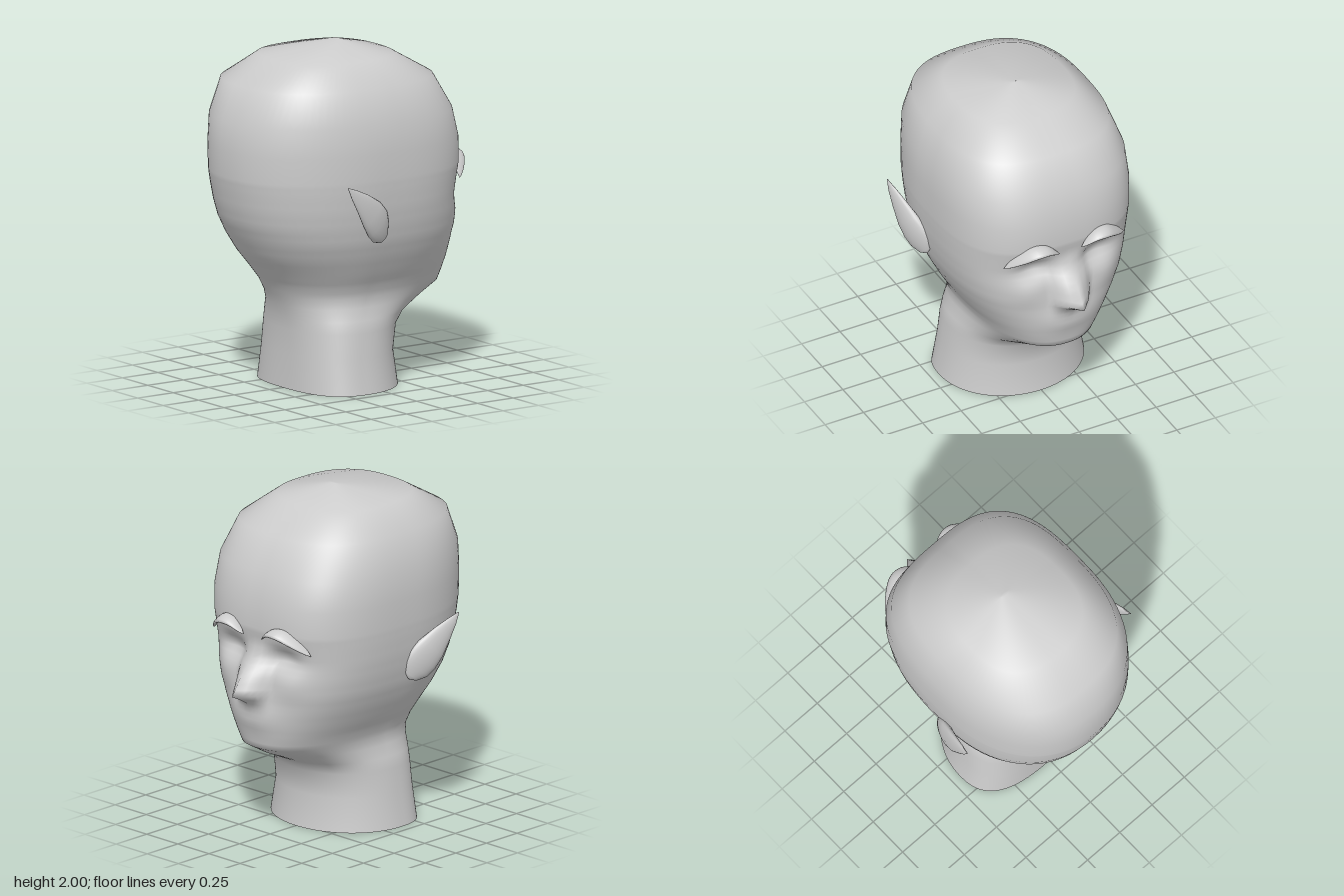
import * as THREE from 'three';

// Skin a stack of closed rings (arrays of [x, y, z]) into one smooth surface.
function loft(rings) {
  const n = rings[0].length, index = [];
  for (let r = 0; r < rings.length - 1; r++) {
    for (let i = 0; i < n; i++) {
      const a = r * n + i, b = r * n + (i + 1) % n;
      index.push(a, a + n, b, b, a + n, b + n);
    }
  }
  const g = new THREE.BufferGeometry();
  g.setAttribute('position', new THREE.Float32BufferAttribute(rings.flat(2), 3));
  g.setIndex(index);
  g.computeVertexNormals();
  return g;
}

// Linear lookup in a table of [key, v1, v2, ...].
function lookup(table, k) {
  if (k <= table[0][0]) return table[0].slice(1);
  for (let i = 0; i < table.length - 1; i++) {
    const p = table[i], q = table[i + 1];
    if (k <= q[0]) {
      const t = (k - p[0]) / (q[0] - p[0]);
      return p.slice(1).map((v, j) => v + (q[j + 1] - v) * t);
    }
  }
  return table[table.length - 1].slice(1);
}

// Height, half width, back z, front z, z of widest point, front and back squareness
const SECTIONS = [
  [0, 0.445, 0.405, -0.29, 0.12, 2.05, 2.7], [0.2, 0.41, 0.40, -0.262, 0.12, 2.1, 2.6],
  [0.35, 0.40, 0.405, -0.29, 0.11, 2.1, 2.4], [0.42, 0.385, 0.415, -0.36, 0.10, 2.1, 2.3],
  [0.49, 0.36, 0.43, -0.51, 0.09, 2.15, 2.2], [0.55, 0.36, 0.455, -0.615, 0.08, 2.3, 2.1],
  [0.62, 0.385, 0.49, -0.625, 0.08, 2.5, 2.1], [0.7, 0.43, 0.55, -0.63, 0.08, 2.6, 2.1],
  [0.8, 0.48, 0.63, -0.635, 0.08, 2.7, 2.15], [0.9, 0.52, 0.69, -0.635, 0.08, 2.8, 2.2],
  [1.0, 0.545, 0.74, -0.625, 0.08, 2.9, 2.2], [1.1, 0.562, 0.77, -0.61, 0.08, 3, 2.2],
  [1.2, 0.572, 0.79, -0.622, 0.08, 3, 2.2], [1.28, 0.577, 0.803, -0.636, 0.08, 3, 2.2],
  [1.43, 0.578, 0.808, -0.632, 0.08, 3, 2.2], [1.6, 0.565, 0.79, -0.59, 0.08, 3, 2.3],
  [1.8, 0.50, 0.70, -0.48, 0.09, 2.9, 2.6], [1.93, 0.35, 0.48, -0.265, 0.1, 2.6, 2.6],
  [2, 0.03, 0.03, 0.01, 0.02, 2, 2], [2, 0.001, 0.021, 0.019, 0.02, 2, 2],
];

// Height against how far the nose stands out, and its fall-off sideways
const NOSE = [[0.78, 0], [0.83, 0.04], [0.86, 0.09], [0.9, 0.175], [1.0, 0.12], [1.1, 0.045], [1.18, 0]];
const NOSE_WIDTH = [[0, 1], [0.08, 0.48], [0.13, 0]];

const bump = (x, y, cx, cy, sx, sy) =>
  Math.exp(-(((Math.abs(x) - cx) / sx) ** 2) - ((y - cy) / sy) ** 2);

// Forward relief of the face; the face looks toward -z
function relief(x, y) {
  const nose = lookup(NOSE, y)[0] * lookup(NOSE_WIDTH, Math.abs(x))[0];
  return nose
    - 0.055 * bump(x, y, 0.2, 1.12, 0.11, 0.06)  // eye sockets
    + 0.015 * bump(x, y, 0.27, 0.97, 0.1, 0.08)  // cheeks
    + 0.03 * bump(x, y, 0, 0.74, 0.18, 0.09);    // mouth
}

function headGeometry() {
  const rings = [];
  const SEG = 112;
  const ring = (y, [hw, back, front, zc, nf, nb]) => rings.push(Array.from({ length: SEG }, (_, i) => {
    const u = (i / SEG) * Math.PI * 2;
    const a = u - 0.5 * Math.cos(u);             // closer points across the face
    const c = Math.cos(a), s = Math.sin(a), n = s < 0 ? nf : nb;
    const x = hw * Math.sign(c) * Math.abs(c) ** (2 / n);
    const k = Math.abs(s) ** (2 / n);
    let z = zc + ((s < 0 ? front : back) - zc) * k;
    if (s < 0 && y > 0.5 && y < 1.4) z -= relief(x, y) * k;
    return [x, y, z];
  }));
  SECTIONS.forEach(([y, ...section], i) => {
    ring(y, section);
    if (y < 0.55 || y > 1.25) return;
    const step = SECTIONS[i + 1][0] - y, rows = Math.round(step / 0.03);
    for (let k = 1; k < rows; k++) {             // finer rows through the face
      const h = y + step * k / rows;
      ring(h, lookup(SECTIONS, h));
    }
  });
  return loft(rings);
}

// Pointed ear: distance along, lower edge, upper edge, inner x, outer x
function earGeometry() {
  const rows = [
    [-0.006, 0, 0.012, 0.54, 0.55], [0.01, -0.035, 0.05, 0.53, 0.575], [0.06, -0.072, 0.097, 0.53, 0.60],
    [0.12, -0.08, 0.124, 0.54, 0.622], [0.2, -0.07, 0.118, 0.565, 0.637], [0.31, -0.045, 0.082, 0.595, 0.642],
    [0.4, -0.025, 0.04, 0.615, 0.641], [0.467, -0.003, 0.003, 0.631, 0.634],
  ];
  return loft(rows.map(([d, lo, hi, xin, xout]) => Array.from({ length: 20 }, (_, i) => {
    const a = -(i / 20) * Math.PI * 2;
    const p = (lo + hi) / 2 + (hi - lo) / 2 * Math.cos(a);
    const x = (xin + xout) / 2 + (xout - xin) / 2 * Math.sin(a) - 0.2 * p;
    return [x, 0.925 + 0.75 * d + 0.66 * p, 0.09 + 0.66 * d - 0.75 * p];
  })));
}

// Arched brow: a tapered crescent swept over the eye
function browGeometry() {
  const path = new THREE.CatmullRomCurve3([
    [0.07, 1.225, -0.645], [0.15, 1.285, -0.66], [0.23, 1.29, -0.652], [0.31, 1.245, -0.615], [0.39, 1.175, -0.56],
  ].map((p) => new THREE.Vector3(...p)));
  return loft(Array.from({ length: 17 }, (_, r) => {
    const c = path.getPoint(r / 16), w = 0.002 + Math.sin(r / 16 * Math.PI) ** 0.7;
    return Array.from({ length: 12 }, (_, i) => {
      const a = -(i / 12) * Math.PI * 2;
      const out = Math.sin(a);                   // drops toward its outer rim
      return [c.x, c.y + w * (0.02 * Math.cos(a) + 0.012 * out), c.z + 0.046 * w * out];
    });
  }));
}

export function createModel() {
  const model = new THREE.Group();
  const skin = new THREE.MeshStandardMaterial({ color: 0xcccccc, side: THREE.DoubleSide });
  skin.name = 'grey skin';

  const add = (geometry, name, mirror = 1) => {
    const mesh = new THREE.Mesh(geometry, skin);
    mesh.name = name;
    mesh.scale.x = mirror;
    model.add(mesh);
  };
  add(headGeometry(), 'headAndNeck');

  const ear = earGeometry(), brow = browGeometry();
  for (const [side, s] of [['left', 1], ['right', -1]]) {
    add(ear, `${side}Ear`, s);
    add(brow, `${side}Brow`, s);
  }
  return model;
}
